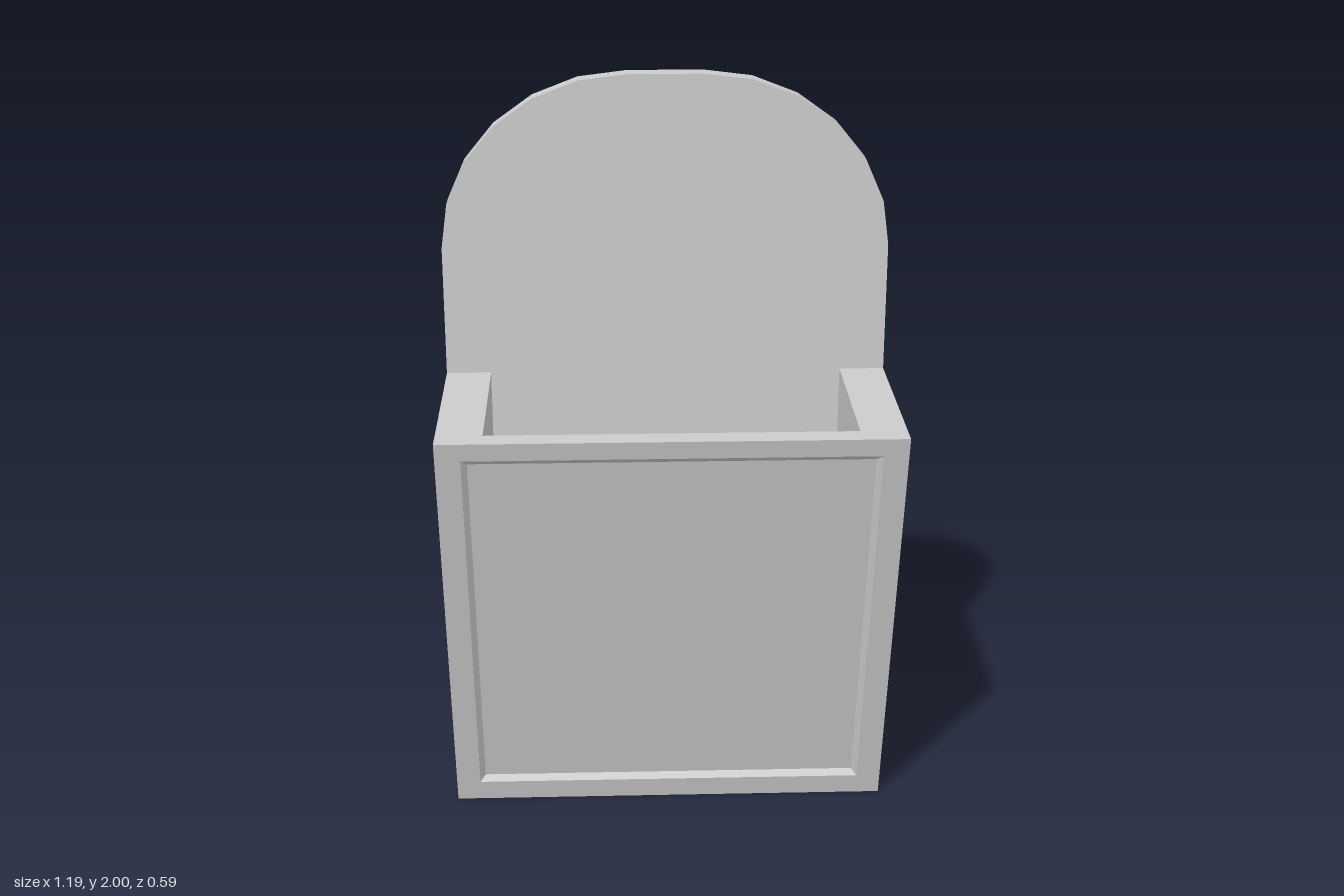
import * as THREE from 'three';
import { toCreasedNormals } from 'three/addons/utils/BufferGeometryUtils.js';

const W = 0.595, H = 1.19, BACK = -0.295, PANEL = 0.055;
const material = new THREE.MeshStandardMaterial({ color: 0xcccccc });

// z of the leaning front face at height y
const frontZ = (y) => (0.295 * y) / H;

// horizontal four-corner loop, counter-clockwise from above
const level = (x, y, front, back) => [[-x, y, front], [x, y, front], [x, y, back], [-x, y, back]];

// four-corner loop on the front face, counter-clockwise from the front
const onFront = (x, y0, y1, depth = 0) =>
  [[-x, y0], [x, y0], [x, y1], [-x, y1]].map(([px, py]) => [px, py, frontZ(py) - depth]);

function pocketGeometry() {
  const pos = [];
  const quad = (a, b, c, d) => pos.push(...a, ...b, ...c, ...a, ...c, ...d);
  const strip = (p, q, first = 0) => {
    for (let i = first; i < 4; i++) {
      const j = (i + 1) % 4;
      quad(p[i], p[j], q[j], q[i]);
    }
  };

  // outer sides, back and underside
  const bottom = level(W, 0, 0, BACK);
  const top = level(W, H, frontZ(H), BACK);
  strip(bottom, top, 1);
  quad(...[...bottom].reverse());

  // rim, inner walls and floor
  const mouth = level(0.475, H, 0.235, BACK + PANEL);
  const floor = level(0.475, 0.06, -0.005, BACK + PANEL);
  strip(top, mouth);
  strip(mouth, floor);
  quad(...floor);

  // front frame with a shallow recessed panel
  const frame = onFront(0.53, 0.062, 1.14);
  const recess = onFront(0.515, 0.08, 1.125, 0.015);
  strip(onFront(W, 0, H), frame);
  strip(frame, recess);
  quad(...recess);

  const geo = new THREE.BufferGeometry();
  geo.setAttribute('position', new THREE.Float32BufferAttribute(pos, 3));
  geo.computeVertexNormals();
  return geo;
}

function backboardGeometry() {
  // arched outline: two elliptical corners joined by a short flat top
  const pts = [new THREE.Vector2(-W, H), new THREE.Vector2(W, H)];
  for (const side of [1, -1]) {
    for (let k = 0; k <= 6; k++) {
      const a = ((side > 0 ? k : 6 - k) * Math.PI) / 12;
      pts.push(new THREE.Vector2(side * (0.1 + 0.495 * Math.cos(a)), 1.54 + 0.46 * Math.sin(a)));
    }
  }
  const geo = new THREE.ExtrudeGeometry(new THREE.Shape(pts), { depth: PANEL, bevelEnabled: false });
  geo.translate(0, 0, BACK);
  return toCreasedNormals(geo, 0.6);
}

export function createModel() {
  const model = new THREE.Group();
  model.name = 'wallPocket';
  const add = (name, geo) => {
    const mesh = new THREE.Mesh(geo, material);
    mesh.name = name;
    model.add(mesh);
  };
  add('pocketBox', pocketGeometry());
  add('archedBackboard', backboardGeometry());
  return model;
}
